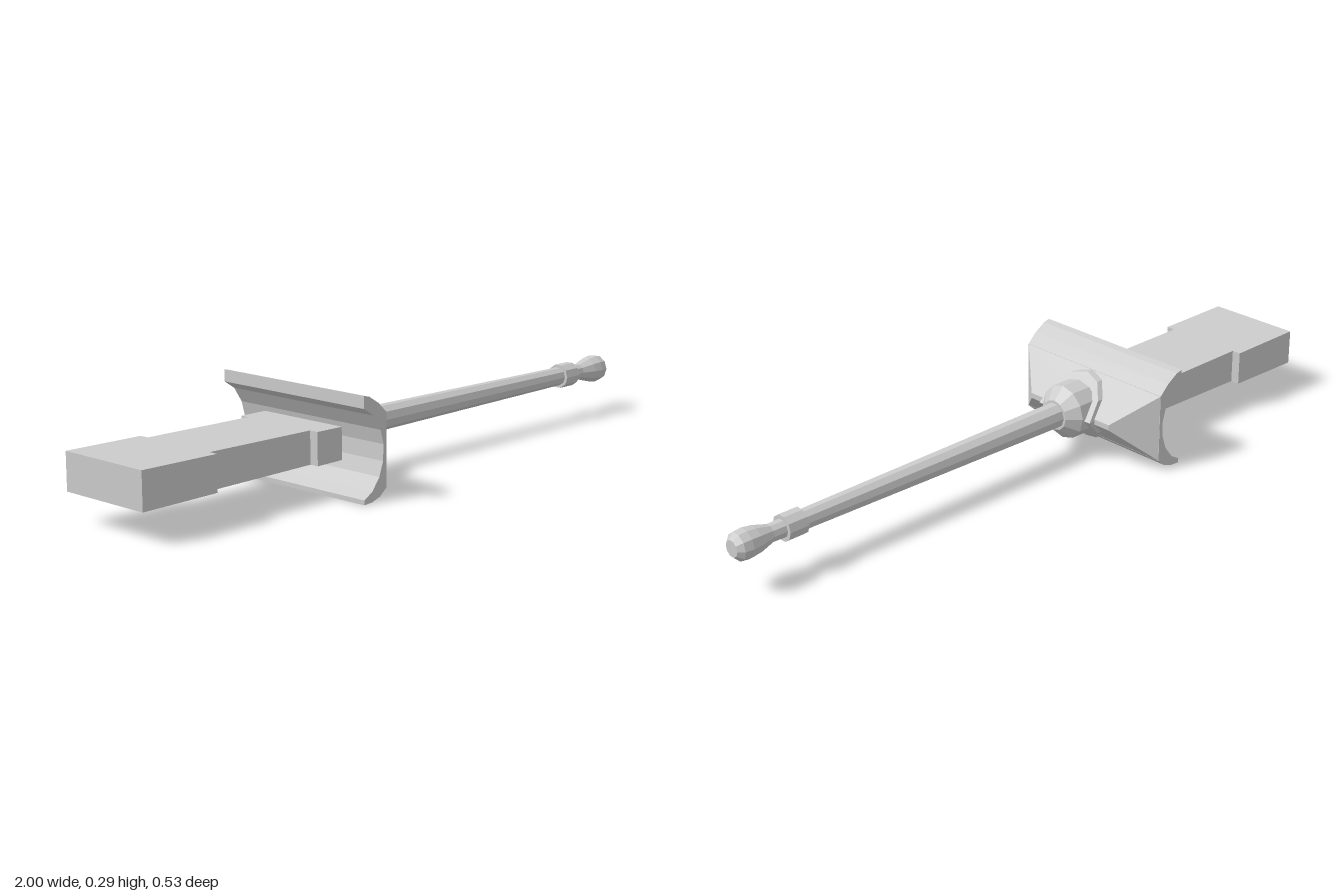
import * as THREE from 'three';
import { ConvexGeometry } from 'three/addons/geometries/ConvexGeometry.js';

const AXIS_Y = 0.138;

export function createModel() {
  const model = new THREE.Group();
  const grey = new THREE.MeshStandardMaterial({ color: 0xcccccc, flatShading: true });

  const add = (name, geometry) => {
    const mesh = new THREE.Mesh(geometry, grey);
    mesh.name = name;
    model.add(mesh);
    return mesh;
  };

  // Faceted solid of revolution along x, from [x, radius] pairs
  const turned = (name, pairs, sides) => {
    const points = pairs.map(([x, r]) => new THREE.Vector2(r, x));
    const geometry = new THREE.LatheGeometry(points, sides);
    geometry.rotateZ(-Math.PI / 2);
    geometry.translate(0, AXIS_Y, 0);
    return add(name, geometry);
  };

  const outline = (pairs) => new THREE.Shape(pairs.map(([x, y]) => new THREE.Vector2(x, y)));

  // Breech block: waisted plan, slightly thinner towards the shield
  const side = [[-1, 0.145], [-0.76, 0.145], [-0.76, 0.118], [-0.41, 0.118], [-0.41, 0.145], [-0.32, 0.145]];
  const plan = [...side.map(([x, z]) => [x, -z]), ...side.slice().reverse()];
  const breech = new THREE.ExtrudeGeometry(outline(plan), { depth: 1, bevelEnabled: false });
  breech.rotateX(-Math.PI / 2);
  const pos = breech.attributes.position;
  for (let i = 0; i < pos.count; i++) {
    const half = THREE.MathUtils.mapLinear(pos.getX(i), -1, -0.32, 0.052, 0.045);
    pos.setY(i, 0.137 + (pos.getY(i) * 2 - 1) * half);
  }
  breech.translate(0, 0, -0.005);
  add('breechBlock', breech);

  // Shield: hollow-backed crescent section running across the full width
  const crescent = outline([
    [-0.365, 0.289], [-0.345, 0.284], [-0.31, 0.262], [-0.28, 0.233],
    [-0.28, 0.033], [-0.305, 0.012], [-0.335, 0.002], [-0.365, 0],
    [-0.365, 0.013], [-0.335, 0.03], [-0.308, 0.065], [-0.294, 0.105],
    [-0.292, 0.15], [-0.303, 0.19], [-0.33, 0.232], [-0.365, 0.255],
  ]);
  const shield = new THREE.ExtrudeGeometry(crescent, { depth: 0.528, bevelEnabled: false });
  shield.translate(0, 0, -0.264);
  add('shield', shield);

  // Wedge nose of the shield with cut-back ends
  const corners = [];
  for (const s of [-1, 1]) {
    for (const y of [0.233, 0.033]) corners.push(new THREE.Vector3(-0.281, y, s * 0.264));
    for (const y of [0.138, 0.122]) corners.push(new THREE.Vector3(-0.187, y, s * 0.155));
  }
  add('shieldNose', new ConvexGeometry(corners));

  // Collar: round plate folded over the wedge, with a thin rim
  const sides = 12, radius = 0.101, foldY = 0.132;
  const verts = [];
  const rim = (i, lift) => {
    const a = (i / sides) * Math.PI * 2;
    const dy = Math.sin(a) * radius;
    return [-0.188 + lift - 0.93 * Math.abs(dy), foldY + dy, -Math.cos(a) * radius];
  };
  const top = 0.022, base = -0.01;
  for (let i = 0; i < sides; i++) {
    const a = rim(i, top), b = rim(i + 1, top), c = rim(i, base), d = rim(i + 1, base);
    // a and b run counter-clockwise as seen from +x
    verts.push(-0.188 + top, foldY, 0, ...b, ...a);
    verts.push(...a, ...b, ...d, ...a, ...d, ...c);
  }
  // Reverse each triangle so that it faces outwards
  for (let i = 0; i < verts.length; i += 9) {
    const p = verts.slice(i + 3, i + 6), q = verts.slice(i + 6, i + 9);
    const a = new THREE.Vector3(...verts.slice(i, i + 3));
    const u = new THREE.Vector3(...p).sub(a), v = new THREE.Vector3(...q).sub(a);
    const out = a.clone().add(u.clone().add(v).divideScalar(3)).sub(new THREE.Vector3(-0.28, foldY, 0));
    if (u.cross(v).dot(out) < 0) verts.splice(i + 3, 6, ...q, ...p);
  }
  const collar = new THREE.BufferGeometry();
  collar.setAttribute('position', new THREE.Float32BufferAttribute(verts, 3));
  collar.computeVertexNormals();
  add('collar', collar);

  // Barrel mount and gun tube
  turned('barrelMount', [[-0.245, 0], [-0.245, 0.06], [-0.225, 0.08], [-0.16, 0.08], [-0.126, 0.045], [-0.126, 0]], 12);
  turned('barrel', [[-0.34, 0], [-0.34, 0.038], [-0.13, 0.038], [0.79, 0.028], [0.79, 0]], 10);

  // Ring and flared muzzle
  turned('muzzleRing', [[0.785, 0], [0.785, 0.037], [0.845, 0.037], [0.845, 0]], 10);
  turned('muzzle', [[0.84, 0], [0.84, 0.026], [0.885, 0.025], [0.93, 0.038], [0.96, 0.042], [0.985, 0.039], [1, 0.024], [1, 0]], 10);

  return model;
}
